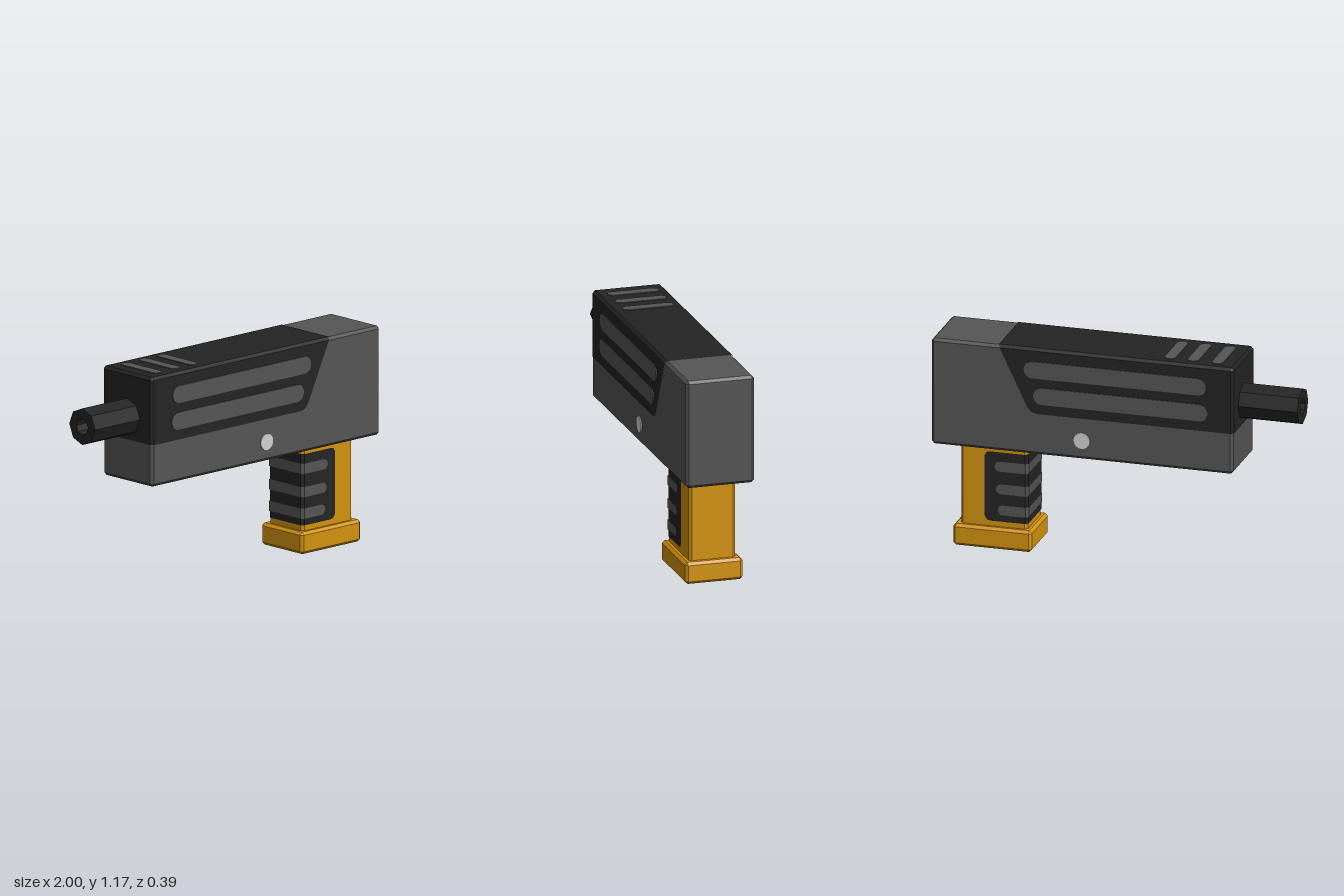
import * as THREE from 'three';
import { ConvexGeometry } from 'three/addons/geometries/ConvexGeometry.js';

const paint = (name, color) => {
  const m = new THREE.MeshStandardMaterial({ color });
  m.name = name;
  return m;
};

// Box between two corners with every edge chamfered by c
function chamferBox([x0, y0, z0], [x1, y1, z1], c) {
  const half = [(x1 - x0) / 2, (y1 - y0) / 2, (z1 - z0) / 2];
  const pts = [];
  for (const sx of [-1, 1]) for (const sy of [-1, 1]) for (const sz of [-1, 1])
    for (let full = 0; full < 3; full++) {
      const h = half.map((v, i) => (i === full ? v : v - c));
      pts.push(new THREE.Vector3(sx * h[0], sy * h[1], sz * h[2]));
    }
  return new ConvexGeometry(pts).translate((x0 + x1) / 2, (y0 + y1) / 2, (z0 + z1) / 2);
}

// Flat-shaded skin over rows of [x, y, z] points
function skin(rows) {
  const pos = [];
  for (let r = 0; r < rows.length - 1; r++)
    for (let i = 0; i < rows[r].length - 1; i++) {
      const a = rows[r][i], b = rows[r + 1][i], c = rows[r + 1][i + 1], d = rows[r][i + 1];
      pos.push(...a, ...b, ...d, ...b, ...c, ...d);
    }
  const g = new THREE.BufferGeometry();
  g.setAttribute('position', new THREE.Float32BufferAttribute(pos, 3));
  g.computeVertexNormals();
  return g;
}

// Thin round-ended bar along x, lying in the xy plane
function capsulePlate(length, width) {
  const r = width / 2, l = length / 2 - r;
  const s = new THREE.Shape();
  s.absarc(l, 0, r, -Math.PI / 2, Math.PI / 2, false);
  s.absarc(-l, 0, r, Math.PI / 2, Math.PI * 1.5, false);
  return new THREE.ExtrudeGeometry(s, { depth: 0.004, bevelEnabled: false, curveSegments: 10 })
    .translate(0, 0, -0.002);
}

// Band wrapping the front of the grip; profile holds [y, end x], e is the lift off the grip
function gripWrap(profile, e) {
  const x = 0.485 - e, z = 0.13 + e, c = 0.015;
  return skin(profile.map(([y, end]) => [
    [end, y, z], [x + c, y, z], [x, y, z - c],
    [x, y, c - z], [x + c, y, -z], [end, y, -z],
  ]));
}

export function createModel() {
  const model = new THREE.Group();
  const grey = paint('bodyGrey', 0x555555);
  const black = paint('panelBlack', 0x242424);
  const amber = paint('gripAmber', 0xd3930f);
  const silver = paint('pinSilver', 0xd2d2d2);
  const add = (name, geometry, material, x = 0, y = 0, z = 0) => {
    const m = new THREE.Mesh(geometry, material);
    m.name = name;
    m.position.set(x, y, z);
    model.add(m);
    return m;
  };

  // Main solids
  add('body', chamferBox([-0.67, 0.57, -0.19], [1, 1.165, 0.19], 0.015), grey);
  add('grip', chamferBox([0.485, 0.08, -0.13], [0.855, 0.6, 0.13], 0.015), amber);
  add('gripBase', chamferBox([0.455, 0, -0.16], [0.89, 0.12, 0.16], 0.015), amber);

  // Dark upper cover wrapping both sides, the top and the muzzle end; [y, z, seam x]
  const side = [
    [0.8, 0.193, 0.41], [0.807, 0.193, 0.443], [0.835, 0.193, 0.468],
    [1.153, 0.193, 0.62], [1.168, 0.178, 0.627],
  ];
  const arch = [...side, ...side.map(([y, z, x]) => [y, -z, x]).reverse()];
  const inset = (z) => Math.sign(z) * Math.min(Math.abs(z), 0.178);
  add('upperCover', skin([
    arch.map(([y]) => [-0.673, Math.min(y, 1.153), 0]),
    arch.map(([y, z]) => [-0.673, Math.min(y, 1.153), inset(z)]),
    arch.map(([y, z]) => [-0.658, y, z]),
    arch.map(([y, z, x]) => [x, y, z]),
  ]), black);

  // Long side slots on both sides
  for (const s of [-1, 1]) {
    add('upperSideSlot', capsulePlate(1.01, 0.094), grey, -0.02, 1.047, s * 0.195);
    add('lowerSideSlot', capsulePlate(0.965, 0.094), grey, -0.05, 0.902, s * 0.195);
  }

  // Short slots across the top
  for (const x of [-0.565, -0.43, -0.302]) {
    const slot = add('topSlot', capsulePlate(0.285, 0.062), grey, x, 1.17, -0.004);
    slot.rotation.set(Math.PI / 2, 0, Math.PI / 2);
  }

  // Pin passing through the body
  add('pin', new THREE.CylinderGeometry(0.045, 0.045, 0.39, 16), silver, 0.165, 0.675, 0)
    .rotation.x = Math.PI / 2;

  // Eight-sided barrel with a recessed bore
  const profile = [[0.1, 0], [0.1, 0.34], [0.045, 0.34], [0.045, 0.2], [0, 0.2]]
    .map(([r, h]) => new THREE.Vector2(r, h));
  const barrel = new THREE.LatheGeometry(profile, 8).toNonIndexed();
  barrel.computeVertexNormals();
  add('barrel', barrel, black, -0.66, 0.925, 0).rotation.z = Math.PI / 2;

  // Dark grip pad with three wrapping ridges
  add('gripPad', gripWrap([
    [0.15, 0.69], [0.155, 0.708], [0.175, 0.72], [0.515, 0.72], [0.535, 0.712], [0.54, 0.69],
  ], 0.003), black);
  for (const [y, end] of [[0.46, 0.665], [0.333, 0.657], [0.215, 0.647]]) {
    const rows = [];
    for (let i = 0; i <= 8; i++) {
      const a = -Math.PI / 2 + (Math.PI * i) / 8;
      rows.push([y + 0.028 * Math.sin(a), end - 0.028 + 0.028 * Math.cos(a)]);
    }
    add('gripRidge', gripWrap(rows, 0.006), grey);
  }

  return model;
}
